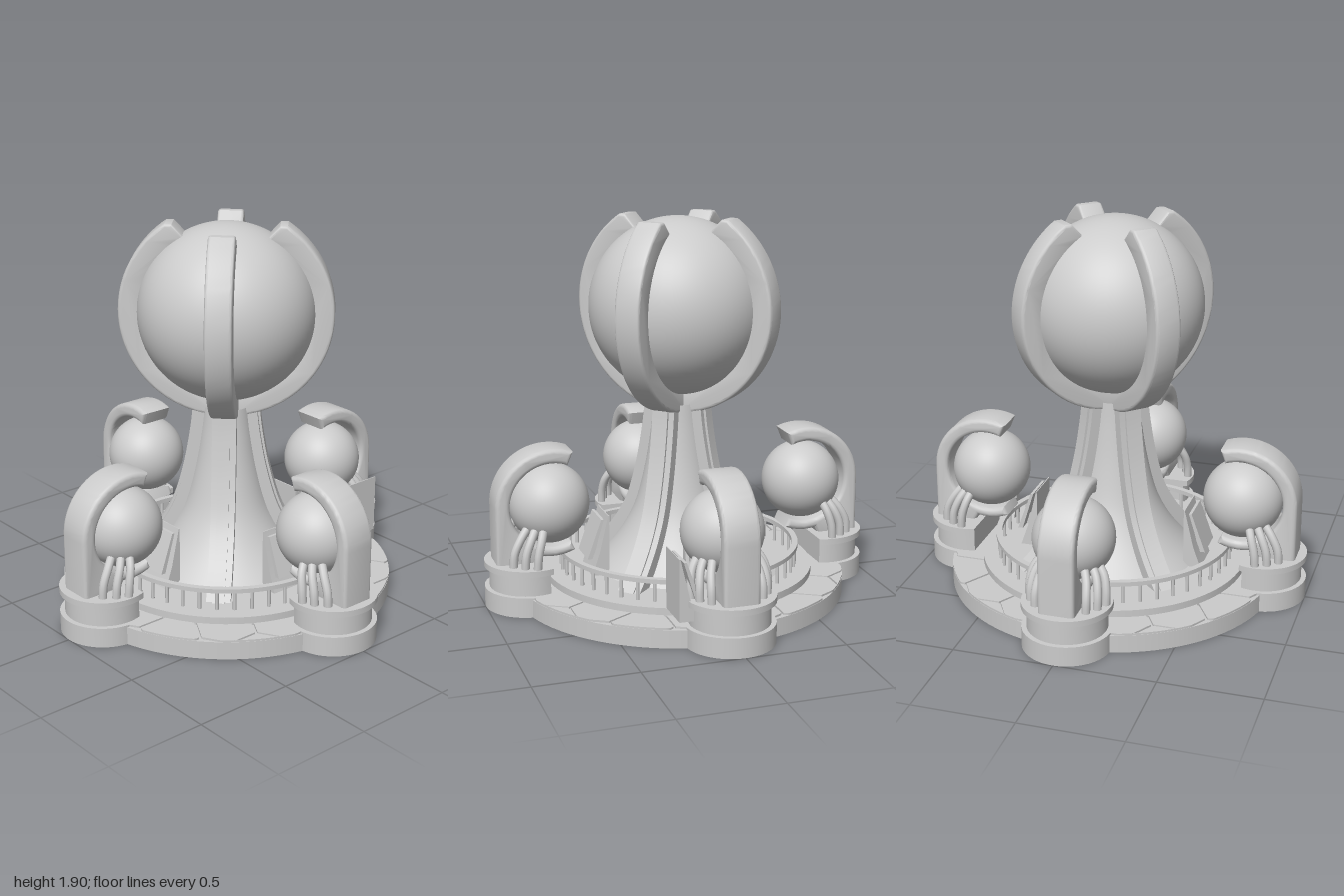
import * as THREE from 'three';
import { toCreasedNormals } from 'three/addons/utils/BufferGeometryUtils.js';

const mat = new THREE.MeshStandardMaterial({ color: 0xcccccc });
const V2 = (x, y) => new THREE.Vector2(x, y);
const rad = THREE.MathUtils.degToRad;

function add(parent, name, geo, x = 0, y = 0, z = 0) {
  const m = new THREE.Mesh(geo, mat);
  m.name = name;
  m.position.set(x, y, z);
  parent.add(m);
  return m;
}

// points along an arc, angles in degrees
function arc(cx, cy, r, a, b, n) {
  return Array.from({ length: n + 1 }, (_, i) => {
    const t = rad(a + (b - a) * i / n);
    return V2(cx + r * Math.cos(t), cy + r * Math.sin(t));
  });
}

// side profile extruded to a width, centred on z = 0
function slab(points, width, bevel = 0) {
  const geo = new THREE.ExtrudeGeometry(new THREE.Shape(points), {
    depth: width - 2 * bevel, bevelEnabled: bevel > 0, bevelSize: bevel,
    bevelThickness: bevel, bevelOffset: -bevel, bevelSegments: 3,
  });
  geo.translate(0, 0, -width / 2 + bevel);
  return toCreasedNormals(geo, 0.6);
}

// flat plan outline (x, z) extruded upward
function plate(points, y, height) {
  const geo = new THREE.ExtrudeGeometry(new THREE.Shape(points.map(p => V2(p.x, -p.y))), { depth: height, bevelEnabled: false });
  geo.rotateX(-Math.PI / 2).translate(0, y, 0);
  return toCreasedNormals(geo, 0.6);
}

// circular plan outline cut straight on its inner side
function cutDisc(cx, r, cut) {
  const a = THREE.MathUtils.radToDeg(Math.acos((cut - cx) / r));
  return arc(cx, 0, r, -a, a, 40);
}

function ring(r0, r1, y0, y1) {
  return toCreasedNormals(new THREE.LatheGeometry(
    [V2(r0, y0), V2(r1, y0), V2(r1, y1), V2(r0, y1), V2(r0, y0)], 96), 0.6);
}

function makePod() {
  const pod = new THREE.Group();
  pod.name = 'pod';
  add(pod, 'baseLobe', new THREE.CylinderGeometry(0.22, 0.22, 0.1, 48), 0.78, 0.05, 0);
  add(pod, 'pedestal', plate(cutDisc(0.78, 0.195, 0.71), 0.1, 0.11));
  add(pod, 'pedestalCollar', plate(cutDisc(0.78, 0.22, 0.7), 0.205, 0.03));
  add(pod, 'podSphere', new THREE.SphereGeometry(0.2, 48, 32), 0.67, 0.51, 0);
  // hooked arm with a cradle under the sphere
  const cx = 0.67, cy = 0.515;
  add(pod, 'podArm', slab([
    ...arc(cx, cy, 0.285, 112, 0, 28), V2(0.955, 0.21), V2(0.75, 0.21),
    ...arc(cx, cy, 0.262, -78, -115, 8), ...arc(cx, cy, 0.213, -115, 112, 44),
  ], 0.18, 0.02));
  // curved pipes from the collar to the sphere
  for (const s of [-1, 1]) {
    for (const [x, z] of [[0.87, 0.125], [0.82, 0.165], [0.765, 0.19]]) {
      const dx = x - 0.67;
      const path = new THREE.CatmullRomCurve3([
        new THREE.Vector3(x + 0.012, 0.22, s * z),
        new THREE.Vector3(x + 0.005, 0.3, s * z),
        new THREE.Vector3(0.67 + dx * 0.85, 0.37, s * z * 0.92),
        new THREE.Vector3(0.67 + dx * 0.6, 0.43, s * z * 0.7),
      ]);
      add(pod, 'pipe', new THREE.TubeGeometry(path, 14, 0.021, 10));
    }
  }
  return pod;
}

// console facing local +x: upright wedge and sloped screen
function makeConsole() {
  const c = new THREE.Group();
  c.name = 'console';
  add(c, 'consoleBody', slab([V2(0, 0.135), V2(0.09, 0.135), V2(0.05, 0.25), V2(0.005, 0.44), V2(0, 0.44)], 0.2));
  add(c, 'consoleScreen', slab([V2(0.085, 0.22), V2(0.11, 0.22), V2(0.038, 0.42), V2(0.024, 0.42)], 0.18));
  add(c, 'screenBracket', slab([V2(0.03, 0.22), V2(0.1, 0.22), V2(0.085, 0.27), V2(0.03, 0.3)], 0.06));
  return c;
}

export function createModel() {
  const model = new THREE.Group();

  // round base with hexagonal paving
  add(model, 'base', new THREE.CylinderGeometry(0.84, 0.84, 0.09, 96), 0, 0.045, 0);
  const size = 0.155, gap = 0.007, maxR = 0.838;
  for (let i = -4; i <= 4; i++) {
    for (let j = -4; j <= 4; j++) {
      const hx = i * size * 1.5, hz = (j + (Math.abs(i) % 2) / 2) * size * Math.sqrt(3);
      const d = Math.hypot(hx, hz);
      if (d < 0.5 || d > 0.96) continue;
      const pts = [];
      let inside = 0;
      for (let k = 0; k < 6; k++) {
        const a = rad(k * 60), b = rad(k * 60 + 60), r = size - gap;
        for (let t = 0; t < 1; t += 0.125) {
          let p = V2(hx + r * (Math.cos(a) * (1 - t) + Math.cos(b) * t), hz + r * (Math.sin(a) * (1 - t) + Math.sin(b) * t));
          if (p.length() > maxR) p.setLength(maxR); else inside++;
          if (!pts.length || pts[pts.length - 1].distanceTo(p) > 0.002) pts.push(p);
        }
      }
      if (inside > 3) add(model, 'pavingTile', plate(pts, 0.088, 0.012));
    }
  }

  // raised deck and railing
  add(model, 'deck', new THREE.CylinderGeometry(0.68, 0.68, 0.045, 96), 0, 0.1125, 0);
  add(model, 'handRail', ring(0.582, 0.612, 0.228, 0.25));
  const posts = 44;
  for (let i = 0; i < posts; i++) {
    const a = (i + 0.5) / posts * Math.PI * 2;
    add(model, 'railPost', new THREE.CylinderGeometry(0.009, 0.009, 0.1, 8), 0.597 * Math.cos(a), 0.183, 0.597 * Math.sin(a));
  }

  // flared stem
  const outer = new THREE.SplineCurve([
    V2(0.53, 0.13), V2(0.42, 0.23), V2(0.33, 0.34), V2(0.26, 0.47), V2(0.205, 0.66), V2(0.17, 0.85), V2(0.155, 0.98),
  ]).getPoints(28);
  add(model, 'stemCore', new THREE.LatheGeometry(outer.map(p => V2(p.x * 0.84 - 0.01, p.y)), 64));
  add(model, 'orb', new THREE.SphereGeometry(0.44, 64, 48), 0, 1.46, 0);

  // four ribs, each rising into a claw around the orb
  for (let k = 0; k < 4; k++) {
    const side = new THREE.Group();
    side.name = 'ribAndClaw';
    side.rotation.y = rad(45 + 90 * k);
    add(side, 'stemRib', slab([V2(0.04, 0.13), ...outer, V2(0.04, 1.0)], 0.12));
    add(side, 'ribStrip', slab([V2(0.04, 0.13), ...outer.map(p => V2(p.x + 0.012, p.y)), V2(0.04, 0.98)], 0.06));
    add(side, 'claw', slab([
      ...arc(0, 1.46, 0.53, -86, 56, 44), V2(0.26, 1.9), V2(0.195, 1.83),
      ...arc(0, 1.46, 0.42, 60, -86, 44),
    ], 0.13, 0.014));
    model.add(side);
  }

  // outer pods
  for (let k = 0; k < 4; k++) {
    const pod = makePod();
    pod.rotation.y = rad(90 * k);
    model.add(pod);
  }

  // consoles around the stem, plus one beside the left pod
  for (const [x, z, turn] of [[0.39, 0, 0], [-0.39, 0, 180], [0, 0.39, -90], [0.72, 0.26, 90]]) {
    const c = makeConsole();
    c.position.set(x, 0, z);
    c.rotation.y = rad(turn);
    model.add(c);
  }
  return model;
}
